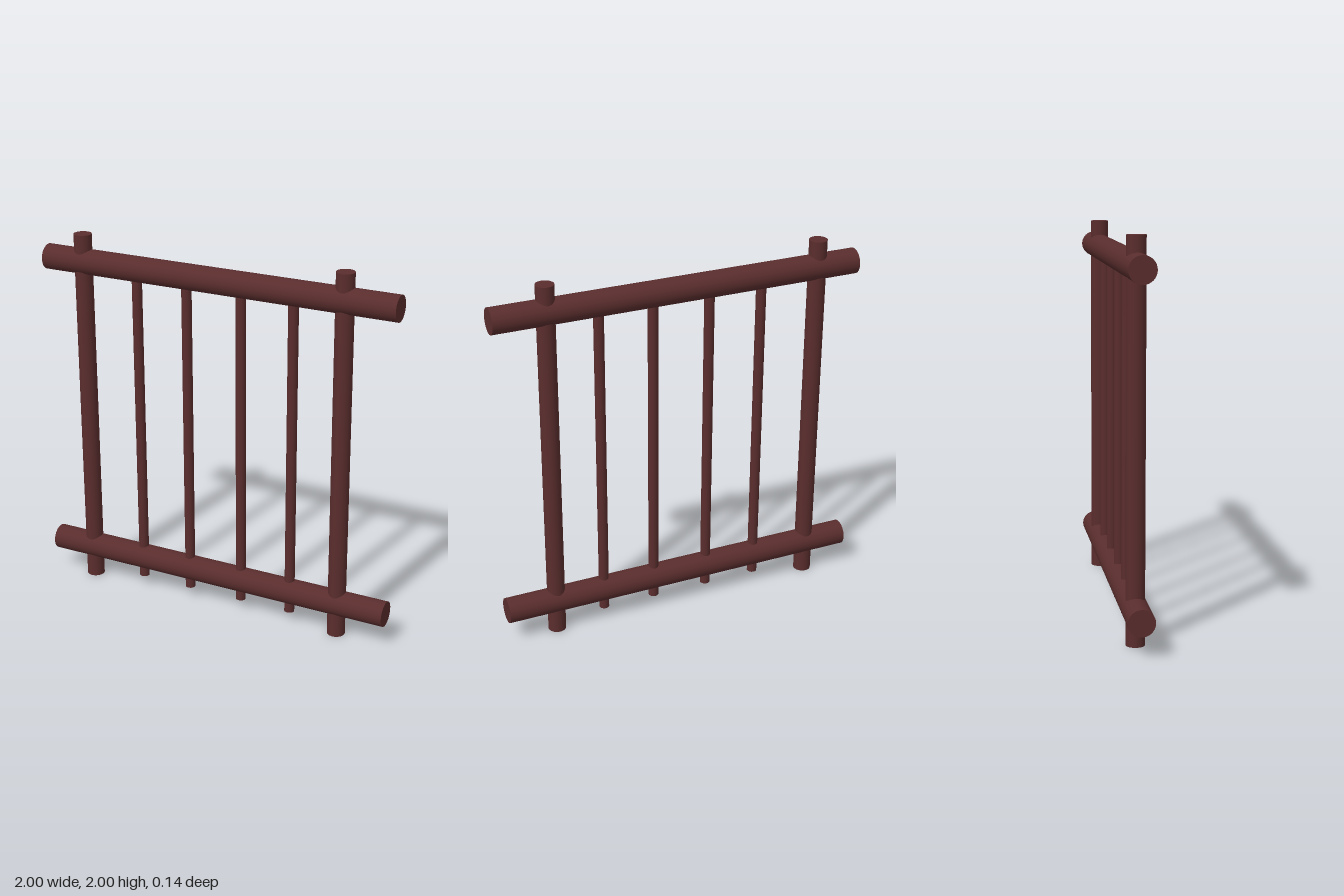
import * as THREE from 'three';

export function createModel() {
  const group = new THREE.Group();
  group.name = 'fencePanel';

  const wood = new THREE.MeshStandardMaterial({ color: 0x5a2d2d });
  wood.name = 'dark red wood';

  // Round pole running between two points in the z = 0 plane
  function pole(name, x0, y0, x1, y1, radius) {
    const from = new THREE.Vector3(x0, y0, 0);
    const to = new THREE.Vector3(x1, y1, 0);
    const axis = to.clone().sub(from);
    const mesh = new THREE.Mesh(new THREE.CylinderGeometry(radius, radius, axis.length(), 32), wood);
    mesh.position.copy(from).add(to).multiplyScalar(0.5);
    mesh.quaternion.setFromUnitVectors(new THREE.Vector3(0, 1, 0), axis.normalize());
    mesh.name = name;
    group.add(mesh);
  }

  // Horizontal rails
  pole('topRail', -1, 1.85, 1, 1.856, 0.068);
  pole('bottomRail', -1, 0.179, 1, 0.183, 0.068);

  // Slightly leaning end posts
  pole('rightPost', -0.77, 0, -0.783, 2, 0.048);
  pole('leftPost', 0.725, 0, 0.71, 2, 0.048);

  // Thin balusters, poking out below the bottom rail and ending inside the top rail
  [-0.447, -0.154, 0.158, 0.45].forEach((x, i) => {
    pole('baluster' + (i + 1), x, 0.063, x - 0.013, 1.85, 0.027);
  });

  return group;
}
